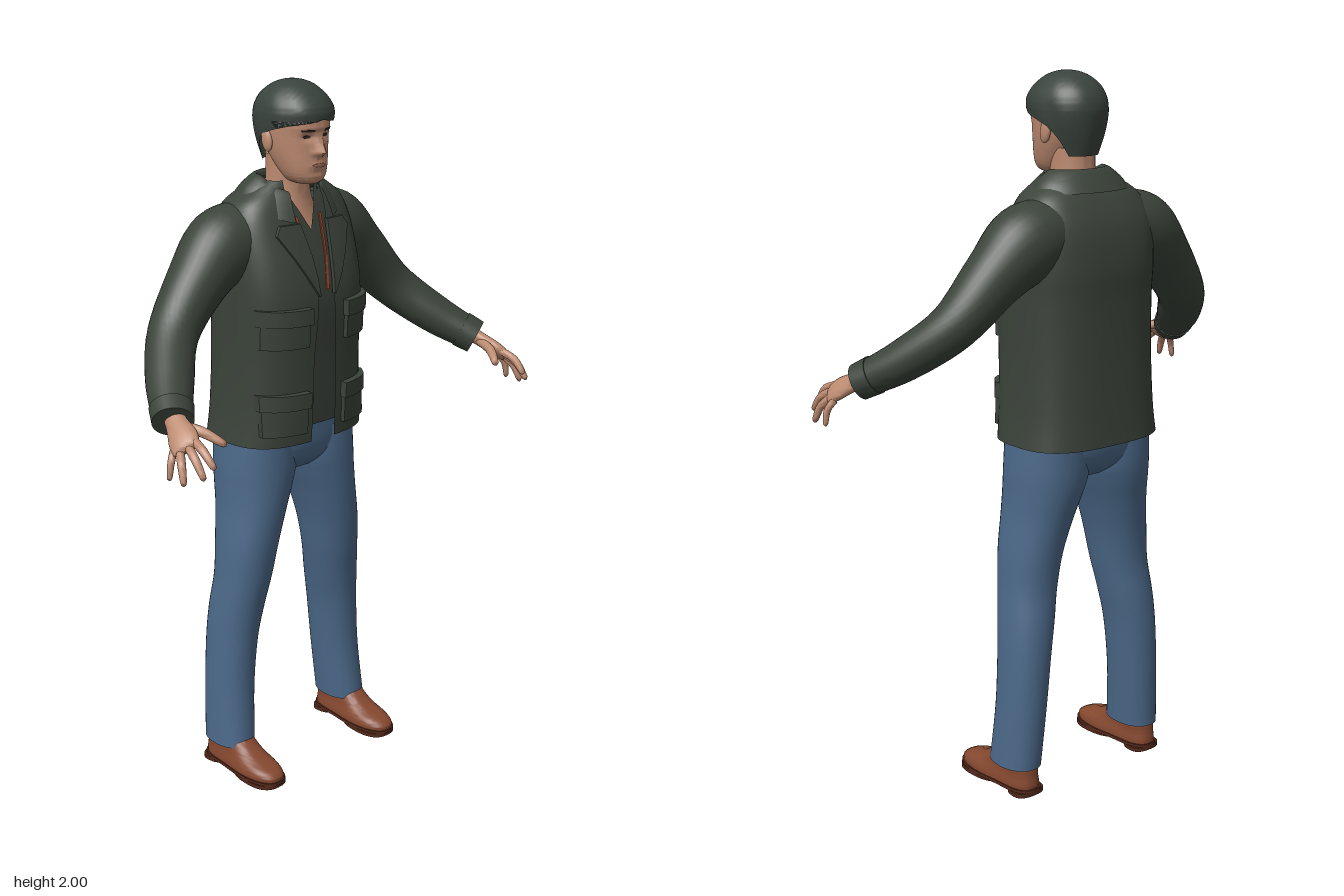
import * as THREE from 'three';
import { mergeVertices, toCreasedNormals } from 'three/addons/utils/BufferGeometryUtils.js';

const V = (x, y, z) => new THREE.Vector3(x, y, z);
const clamp = THREE.MathUtils.clamp;
const bell = (d, w) => Math.exp(-(d * d) / (w * w));

const mat = (name, color, side = THREE.FrontSide) => {
  const m = new THREE.MeshStandardMaterial({ color, side });
  m.name = name;
  return m;
};

// Catmull-Rom resampling of a table of cross-sections
function smooth(rows, steps = 5) {
  const out = [];
  for (let i = 0; i < rows.length - 1; i++) {
    const [a, b, c, d] = [-1, 0, 1, 2].map(k => rows[clamp(i + k, 0, rows.length - 1)]);
    for (let s = 0; s < steps; s++) {
      const t = s / steps;
      out.push(b.map((v, k) => {
        const cubic = 3 * (v - c[k]) + d[k] - a[k];
        const square = 2 * a[k] - 5 * v + 4 * c[k] - d[k];
        return v + 0.5 * t * (c[k] - a[k] + t * (square + t * cubic));
      }));
    }
  }
  out.push(rows[rows.length - 1]);
  return out;
}

// Skin over rows of points; caps close both ends
function skin(rows, caps, crease = 1.0) {
  if (caps) {
    const end = r => {
      const c = V(0, 0, 0);
      r.slice(1).forEach(p => c.addScaledVector(p, 1 / (r.length - 1)));
      return r.map(() => c);
    };
    rows = [end(rows[0]), ...rows, end(rows[rows.length - 1])];
  }
  const n = rows[0].length, index = [];
  for (let i = 0; i < rows.length - 1; i++) for (let j = 0; j < n - 1; j++) {
    const a = i * n + j, c = a + n;
    index.push(a, a + 1, c + 1, a, c + 1, c);
  }
  let g = new THREE.BufferGeometry().setFromPoints(rows.flat());
  g.setIndex(index);
  g = mergeVertices(g, 1e-5);
  const old = g.index.array, kept = [];
  for (let i = 0; i < old.length; i += 3) {
    const [a, b, c] = [old[i], old[i + 1], old[i + 2]];
    if (a !== b && b !== c && a !== c) kept.push(a, b, c);
  }
  g.setIndex(kept);
  return toCreasedNormals(g, crease);
}

// Horizontal superellipse sections: [y, halfWidth, zFront, zBack, xCentre, gapAngle]
function loft(rows, { e = 1, seg = 40, gap = r => r[5] || 0, caps = true, rule = null } = {}) {
  const pow = v => Math.sign(v) * Math.abs(v) ** e;
  return skin(rows.map(r => {
    const [y, rx, zf, zb, cx = 0] = r, g = Math.max(0, gap(r)), line = [];
    for (let j = 0; j <= seg; j++) {
      const a = g + (2 * Math.PI - 2 * g) * j / seg;
      const p = V(cx + rx * pow(Math.sin(a)), y, (zf + zb) / 2 + (zf - zb) / 2 * pow(Math.cos(a)));
      if (rule) rule(p, a);
      line.push(p);
    }
    return line;
  }), caps);
}

// Front surface height of a lofted table
const frontOf = (rows, e) => (x, y) => {
  let i = 0;
  while (i < rows.length - 2 && rows[i + 1][0] < y) i++;
  const t = clamp((y - rows[i][0]) / (rows[i + 1][0] - rows[i][0]), 0, 1);
  const [rx, zf, zb] = [1, 2, 3].map(k => rows[i][k] + t * (rows[i + 1][k] - rows[i][k]));
  const n = 2 / e, q = Math.max(0, 1 - Math.min(1, Math.abs(x) / rx) ** n) ** (1 / n);
  return (zf + zb) / 2 + (zf - zb) / 2 * q;
};

// Thin plate laid on a front surface: rows [y, xInner, xOuter]
function plate(rows, surface, lift) {
  const all = [rows[0], ...rows, rows[rows.length - 1]], us = [0, 0, 0.2, 0.4, 0.6, 0.8, 1, 1];
  return skin(all.map(([y, a, b], i) => us.map((u, j) => {
    const edge = i === 0 || i === all.length - 1 || j === 0 || j === us.length - 1;
    const x = a + (b - a) * u;
    return V(x, y, surface(x, y) + (edge ? -0.003 : lift));
  })), false, 0.6);
}

// Tube through points [x, y, z, sideRadius, upRadius]
function sweep(points, ref, seg = 24, steps = 5) {
  const rows = smooth(points, steps), at = i => V(...rows[clamp(i, 0, rows.length - 1)].slice(0, 3));
  return skin(rows.map((r, i) => {
    const t = at(i + 1).sub(at(i - 1)).normalize();
    const side = t.clone().cross(ref).normalize(), up = t.clone().cross(side), line = [];
    for (let j = 0; j <= seg; j++) {
      const a = 2 * Math.PI * j / seg;
      line.push(at(i).addScaledVector(side, r[3] * Math.cos(a)).addScaledVector(up, r[4] * Math.sin(a)));
    }
    return line;
  }), true);
}

function mirrored(geo) {
  const g = geo.clone().scale(-1, 1, 1), n = g.attributes.position.count;
  const src = g.index ? g.index.array : Array.from({ length: n }, (_, i) => i), index = [];
  for (let i = 0; i < src.length; i += 3) index.push(src[i], src[i + 2], src[i + 1]);
  g.setIndex(index);
  return g;
}

export function createModel() {
  const model = new THREE.Group();
  model.name = 'standingMan';
  const D = THREE.DoubleSide;
  const jacket = mat('jacketGreen', 0x3b433a, D), shirt = mat('shirtGreen', 0x3a4039, D);
  const hair = mat('hairDark', 0x3a433d, D), skinTone = mat('skin', 0xbc8a70);
  const denim = mat('denimBlue', 0x4b6888), leather = mat('shoeBrown', 0x85482f);
  const sole = mat('soleBrown', 0x54291b), lining = mat('liningRust', 0x9c4526);
  const lip = mat('lips', 0x9c665a), dark = mat('eyeDark', 0x2e2621);

  const add = (name, geo, m) => {
    const mesh = new THREE.Mesh(geo, m);
    mesh.name = name;
    model.add(mesh);
  };
  const pair = (name, geo, m) => {
    add(name + 'Left', geo, m);
    add(name + 'Right', mirrored(geo), m);
  };

  // Jacket body, open at the front; the sixth column is the half opening in x
  const E = 0.7;
  const body = smooth([
    [1.01, 0.224, 0.045, -0.285, 0, 0.043], [1.1, 0.214, 0.05, -0.28, 0, 0.042],
    [1.25, 0.208, 0.054, -0.275, 0, 0.04], [1.4, 0.208, 0.06, -0.275, 0, 0.03],
    [1.5, 0.209, 0.045, -0.278, 0, 0.032], [1.6, 0.205, 0.01, -0.262, 0, 0.048],
    [1.67, 0.18, -0.018, -0.225, 0, 0.06], [1.71, 0.13, -0.038, -0.19, 0, 0.062],
    [1.735, 0.09, -0.045, -0.175, 0, 0.06]]);
  const opening = r => Math.asin(Math.min(1, r[5] / r[1]) ** (1 / E));
  add('jacketBody', loft(body, { e: E, seg: 56, gap: opening, caps: false }), jacket);
  const bodyZ = frontOf(body, E);

  // Shirt with a V neck, and the lining that shows beside it
  const inner = body.filter(r => r[0] > 1.05 && r[0] < 1.72).map(([y, rx, zf, zb]) =>
    [y, rx - 0.015, zf - 0.013, zb + 0.015, 0, clamp((y - 1.6) * 0.5, 0, 0.055)]);
  add('shirt', loft(inner, { e: E, seg: 56, gap: opening, caps: false }), shirt);
  pair('lining', plate([[1.44, 0.012, 0.022], [1.54, 0.027, 0.034], [1.64, 0.04, 0.048]],
    frontOf(inner, E), 0.004), lining);

  // Collar, dropping towards the front
  add('collar', loft(smooth([[1.69, 0.15, -0.01, -0.226, 0, 0.062], [1.72, 0.13, -0.022, -0.203, 0, 0.06],
    [1.748, 0.092, -0.036, -0.175, 0, 0.055], [1.73, 0.08, -0.045, -0.165, 0, 0.055]]), {
    e: 0.9, gap: r => Math.asin(r[5] / r[1]), caps: false,
    rule: p => {
      const t = clamp((p.z + 0.11) / 0.09, 0, 1);
      p.y -= 0.06 * t;
      p.z += 0.03 * t;
    } }), jacket);

  // Lapels and flapped pockets
  pair('lapel', plate([[1.43, 0.026, 0.03], [1.48, 0.03, 0.06], [1.54, 0.036, 0.095], [1.6, 0.046, 0.13],
    [1.625, 0.05, 0.115]], bodyZ, 0.009), jacket);
  const panel = (y0, y1, x0, x1) => [0, 0.33, 0.67, 1].map(t => [y0 + t * (y1 - y0), x0, x1]);
  [['chest', 1.295, 1.405], ['hip', 1.045, 1.165]].forEach(([n, lo, hi]) => {
    pair(n + 'Pocket', plate(panel(lo, hi - 0.01, 0.07, 0.192), bodyZ, 0.014), jacket);
    pair(n + 'PocketFlap', plate(panel(hi - 0.045, hi, 0.065, 0.197), bodyZ, 0.022), jacket);
  });

  // Sleeves and cuffs
  const up = V(0, 1, 0);
  pair('sleeve', sweep([[0.09, 1.6, -0.138, 0.095, 0.08], [0.2, 1.563, -0.14, 0.104, 0.106],
    [0.3, 1.483, -0.13, 0.086, 0.083], [0.41, 1.365, -0.1, 0.07, 0.066],
    [0.5, 1.272, -0.005, 0.064, 0.057], [0.572, 1.208, 0.095, 0.051, 0.046]], up, 32, 6), jacket);
  pair('cuff', sweep([[0.549, 1.228, 0.062, 0.059, 0.053], [0.574, 1.206, 0.098, 0.055, 0.05]], up, 32, 2), jacket);

  // Hands
  const across = V(0.6, -0.45, -0.65).normalize();
  pair('palm', sweep([[0.558, 1.222, 0.075, 0.024, 0.03], [0.575, 1.203, 0.115, 0.02, 0.03],
    [0.592, 1.18, 0.16, 0.019, 0.041], [0.604, 1.163, 0.185, 0.015, 0.038],
    [0.607, 1.158, 0.192, 0.008, 0.03]], across, 20, 4), skinTone);
  const finger = (name, a, b, r) => {
    const mid = a.map((v, k) => (v + b[k]) / 2 + [0.004, 0.008, 0.004][k]);
    const near = a.map((v, k) => b[k] + (v - b[k]) * 0.08);
    pair(name, sweep([[...a, r, r], [...mid, r, r], [...near, r * 0.75, r * 0.75], [...b, r * 0.3, r * 0.3]],
      across, 12, 4), skinTone);
  };
  finger('indexFinger', [0.582, 1.182, 0.19], [0.588, 1.13, 0.278], 0.0115);
  finger('middleFinger', [0.598, 1.17, 0.185], [0.614, 1.105, 0.268], 0.0115);
  finger('ringFinger', [0.612, 1.158, 0.172], [0.642, 1.084, 0.222], 0.011);
  finger('littleFinger', [0.618, 1.152, 0.153], [0.644, 1.084, 0.166], 0.0095);
  finger('thumb', [0.564, 1.2, 0.125], [0.514, 1.165, 0.235], 0.0135);

  // Jeans
  add('jeansHips', loft(smooth([[0.905, 0.1, -0.04, -0.19], [0.935, 0.18, -0.01, -0.228],
    [0.98, 0.208, 0.003, -0.246], [1.04, 0.2, 0.005, -0.25], [1.1, 0.185, 0.005, -0.24]]), { e: 0.85 }), denim);
  pair('jeansLeg', loft(smooth([[0.08, 0.06, -0.032, -0.2, 0.225], [0.25, 0.063, -0.048, -0.208, 0.213],
    [0.4, 0.067, -0.046, -0.21, 0.201], [0.5, 0.073, -0.036, -0.205, 0.188], [0.6, 0.077, -0.02, -0.196, 0.172],
    [0.7, 0.083, -0.008, -0.203, 0.158], [0.8, 0.091, 0, -0.22, 0.137], [0.87, 0.102, 0.003, -0.235, 0.122],
    [0.93, 0.11, 0.004, -0.243, 0.113], [1.02, 0.104, 0.002, -0.245, 0.113]]), { e: 0.92 }), denim);

  // Shoes: upper, welt, sole and heel
  const waist = p => { p.x = 0.225 + (p.x - 0.225) * (1 - 0.16 * bell(p.z + 0.1, 0.07)); };
  pair('shoeUpper', loft(smooth([[0.016, 0.057, 0.1, -0.198, 0.225], [0.032, 0.057, 0.1, -0.199, 0.225],
    [0.046, 0.054, 0.08, -0.197, 0.225], [0.06, 0.051, 0.035, -0.195, 0.225], [0.078, 0.05, -0.005, -0.193, 0.225],
    [0.11, 0.046, -0.045, -0.185, 0.225]]), { e: 0.8, rule: waist }), leather);
  const slab = (y0, y1, zf, zb, rx) => loft([[y0, rx, zf, zb, 0.225], [y1, rx, zf, zb, 0.225]], { e: 0.75, rule: waist });
  pair('shoeWelt', slab(0.01, 0.02, 0.104, -0.202, 0.06), sole);
  pair('shoeSole', slab(0, 0.012, 0.1, -0.075, 0.057), sole);
  pair('shoeHeel', slab(0, 0.012, -0.115, -0.2, 0.053), sole);

  // Neck and upper chest
  add('neck', loft(smooth([[1.55, 0.12, 0.005, -0.2], [1.62, 0.1, -0.022, -0.19], [1.67, 0.075, -0.034, -0.175],
    [1.71, 0.061, -0.036, -0.165], [1.75, 0.059, -0.034, -0.16], [1.8, 0.06, -0.035, -0.16]])), skinTone);

  // Head with modelled nose, brow, eye sockets and mouth
  const skull = smooth([[1.728, 0.028, 0.01, -0.06], [1.737, 0.045, 0.023, -0.085], [1.755, 0.058, 0.029, -0.1],
    [1.785, 0.069, 0.029, -0.125], [1.82, 0.078, 0.027, -0.15], [1.86, 0.084, 0.028, -0.17],
    [1.9, 0.086, 0.032, -0.178], [1.94, 0.078, 0.015, -0.165], [1.975, 0.05, -0.02, -0.13],
    [1.985, 0.02, -0.05, -0.1]], 7);
  const bump = (x, y) => {
    const slope = y > 1.815 ? clamp((1.872 - y) / 0.057, 0, 1) : clamp((y - 1.798) / 0.017, 0, 1);
    return 0.029 * slope * bell(x, 0.01 + 0.007 * slope) + 0.004 * bell(y - 1.877, 0.009) * bell(x, 0.06)
      - 0.009 * bell(Math.abs(x) - 0.032, 0.014) * bell(y - 1.857, 0.01)
      + 0.005 * bell(x, 0.024) * bell(y - 1.781, 0.009) - 0.003 * bell(x, 0.03) * bell(y - 1.762, 0.007);
  };
  add('head', loft(skull, { e: 0.92, seg: 80, rule: (p, a) => {
    if (Math.cos(a) > 0) p.z += bump(p.x, p.y) * Math.min(1, 2 * Math.cos(a));
  } }), skinTone);
  const skullZ = frontOf(skull, 0.92), faceZ = (x, y) => skullZ(x, y) + bump(x, y);
  pair('eye', plate([[1.853, 0.028, 0.038], [1.857, 0.023, 0.044], [1.861, 0.028, 0.039]], faceZ, 0.002), dark);
  pair('eyebrow', plate([[1.871, 0.017, 0.05], [1.877, 0.02, 0.052]], faceZ, 0.002), dark);
  add('lips', plate([[1.775, -0.012, 0.012], [1.781, -0.024, 0.024], [1.786, -0.012, 0.012]], faceZ, 0.002), lip);
  const ear = new THREE.SphereGeometry(1, 16, 12).scale(0.01, 0.031, 0.019).rotateX(-0.2).translate(0.086, 1.843, -0.085);
  pair('ear', ear, skinTone);

  // Hair shell, cut away around the face
  add('hair', loft(smooth([[1.78, 0.066, -0.01, -0.168, 0, 2.25], [1.83, 0.084, 0.01, -0.182, 0, 1.95],
    [1.865, 0.094, 0.03, -0.19, 0, 1.6], [1.888, 0.097, 0.04, -0.194, 0, 0.9], [1.903, 0.098, 0.046, -0.195, 0, 0],
    [1.93, 0.095, 0.044, -0.19, 0, 0], [1.96, 0.08, 0.022, -0.172, 0, 0], [1.985, 0.054, -0.012, -0.138, 0, 0],
    [1.997, 0.026, -0.045, -0.105, 0, 0], [2, 0.002, -0.073, -0.077, 0, 0]], 4), {
    e: 0.94, seg: 56, caps: false,
    rule: (p, a) => { if (p.y < 1.98) p.x *= 1 + 0.012 * Math.sin(9 * a + 30 * p.y); } }), hair);

  return model;
}
